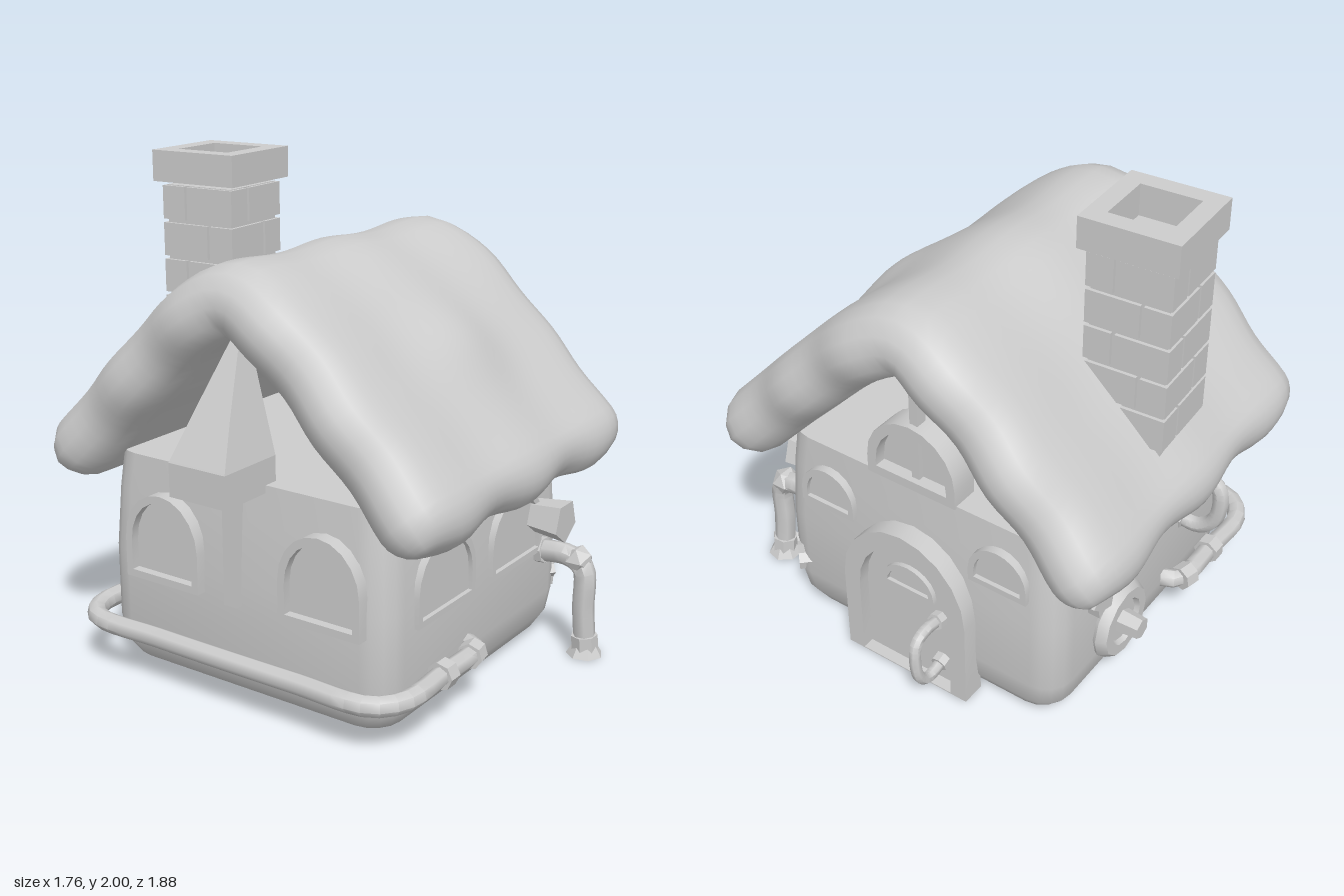
import * as THREE from 'three';
import { toCreasedNormals } from 'three/addons/utils/BufferGeometryUtils.js';

const clay = new THREE.MeshStandardMaterial({ color: 0xcccccc, side: THREE.DoubleSide });
clay.name = 'clay grey';

const V = (x, y, z) => new THREE.Vector3(x, y, z);

function add(parent, name, geometry, pos = [0, 0, 0], rot = [0, 0, 0], crease = 0.6) {
  const mesh = new THREE.Mesh(crease ? toCreasedNormals(geometry, crease) : geometry, clay);
  mesh.name = name;
  mesh.position.set(...pos);
  mesh.rotation.set(...rot);
  parent.add(mesh);
  return mesh;
}

function addGroup(parent, name, pos = [0, 0, 0], rotY = 0) {
  const g = new THREE.Group();
  g.name = name;
  g.position.set(...pos);
  g.rotation.y = rotY;
  parent.add(g);
  return g;
}

// Skin over closed rings of equal length
function loft(rings) {
  const n = rings[0].length, index = [];
  for (let i = 0; i < rings.length - 1; i++) {
    for (let j = 0; j < n; j++) {
      const a = i * n + j, b = i * n + (j + 1) % n;
      index.push(a, b, b + n, a, b + n, a + n);
    }
  }
  const g = new THREE.BufferGeometry().setFromPoints(rings.flat());
  g.setIndex(index);
  g.computeVertexNormals();
  return g;
}

// Pipe through points, with a collar at each end
function pipe(parent, name, points, r, collar = 1.5) {
  const g = addGroup(parent, name);
  const curve = new THREE.CatmullRomCurve3(points.map(p => V(...p)), false, 'centripetal');
  add(g, 'tube', new THREE.TubeGeometry(curve, points.length * 4, r, 7), undefined, undefined, 0.9);
  for (const t of [0.04, 0.96]) {
    const c = add(g, 'collar', new THREE.CylinderGeometry(r * collar, r * collar, r * 1.6, 7));
    c.position.copy(curve.getPointAt(t));
    c.quaternion.setFromUnitVectors(V(0, 1, 0), curve.getTangentAt(t));
  }
  return g;
}

// Arch outline standing on y = 0
function archPath(Type, w, h, rise, base = 0) {
  const p = new Type();
  p.moveTo(-w / 2, base);
  p.lineTo(w / 2, base);
  p.lineTo(w / 2, h - rise);
  p.absellipse(0, h - rise, w / 2, rise, 0, Math.PI, false);
  p.closePath();
  return p;
}

function extrude(shape, depth, segs = 5) {
  return new THREE.ExtrudeGeometry(shape, { depth, bevelEnabled: false, curveSegments: segs });
}

// Arched frame with a recessed panel, facing local +z
function arch(parent, name, pos, rotY, w, h, rise, t, frameDepth, panelDepth, sill = t) {
  const g = addGroup(parent, name, pos, rotY);
  const frame = archPath(THREE.Shape, w, h, rise);
  frame.holes.push(archPath(THREE.Path, w - 2 * t, h - t, rise - t * 0.6, sill));
  add(g, 'frame', extrude(frame, frameDepth));
  add(g, 'panel', extrude(archPath(THREE.Shape, w - t, h - t / 2, rise - t * 0.3), panelDepth));
  return g;
}

// Rounded, slightly bulging walls, open underneath inside a narrow lip
function walls() {
  const ring = (y, inset, k = 1) => {
    const pts = [], r = 0.12, hx = 0.67 - inset, hz = 0.67 - inset;
    for (let q = 0; q < 4; q++) {
      for (let s = 0; s <= 4; s++) {
        const a = (q + s / 4) * Math.PI / 2;
        const sx = q < 2 ? 1 : -1, sz = q === 0 || q === 3 ? 1 : -1;
        pts.push(V(k * (sx * (hx - r) + r * Math.sin(a)), y, k * (sz * (hz - r) + r * Math.cos(a)) - 0.02));
      }
    }
    return pts;
  };
  return loft([ring(0.01, 0.1, 0.88), ring(0.01, 0.1), ring(0.04, 0.05), ring(0.1, 0.015), ring(0.2, 0),
    ring(0.5, 0), ring(0.75, 0.015), ring(0.9, 0.03), ring(0.9, 0.03, 0.001)]);
}

// Thick soft roof: a rounded slab bent over the ridge, with wavy edges and a slight hump on the front slope
function roof() {
  const path = new THREE.CatmullRomCurve3([[-0.785, 0.905], [-0.5, 1.2], [-0.2, 1.48], [-0.03, 1.56],
    [0.15, 1.48], [0.45, 1.2], [0.735, 0.905]].map(([z, y]) => V(0, y, z)));
  const R = 0.135, W = 0.775, N = 40, E = 6, F = 22;
  const section = [];
  for (let s = 0; s <= 6; s++) {
    const a = (s / 6 - 0.5) * Math.PI;
    section.push([W - R + R * Math.cos(a), Math.sin(a)]);
  }
  for (let s = 1; s < F; s++) section.push([(W - R) * (1 - 2 * s / F), 1]);
  for (let s = 0; s <= 6; s++) {
    const a = (s / 6 + 0.5) * Math.PI;
    section.push([-W + R + R * Math.cos(a), Math.sin(a)]);
  }
  for (let s = 1; s < F; s++) section.push([(W - R) * (2 * s / F - 1), -1]);

  const rings = [];
  for (let i = -E; i <= N + E; i++) {
    const t = THREE.MathUtils.clamp(i / N, 0, 1);
    const over = i < 0 ? i / E : i > N ? (i - N) / E : 0;
    const c = path.getPointAt(t), T = path.getTangentAt(t);
    const round = Math.cos(over * Math.PI / 2), reach = R * Math.sin(over * Math.PI / 2);
    const width = 1 + 0.016 * Math.cos(t * Math.PI * 10) - 0.1 * (1 - round);
    rings.push(section.map(([x, n]) => {
      const wave = Math.cos(11.4 * x);
      const hump = 0.04 * Math.exp(-(((t - 0.76) / 0.09) ** 2) - ((x - 0.04) / 0.25) ** 2);
      const h = n * round * (R + (n > 0 ? 0.008 * wave + hump : 0));
      const e = reach * (1 + 0.13 * wave);
      return V(x * width + 0.008, c.y + T.z * h + T.y * e, c.z - T.y * h + T.z * e);
    }));
  }
  return loft(rings);
}

function star(r) {
  const s = new THREE.Shape();
  for (let i = 0; i < 12; i++) {
    const a = i * Math.PI / 6, k = i % 2 ? r * 0.7 : r;
    if (i) s.lineTo(k * Math.cos(a), k * Math.sin(a));
    else s.moveTo(k, 0);
  }
  return extrude(s, 0.06);
}

function chimney(parent) {
  const g = addGroup(parent, 'chimney', [0.025, 0, -0.628], 0.06);
  add(g, 'mortarCore', new THREE.BoxGeometry(0.31, 0.8, 0.31), [0, 1.46, 0]);
  const S = 0.352, L = 0.23, B = S - L, gap = 0.014;
  for (let row = 0; row < 5; row++) {
    const course = addGroup(g, 'brickCourse', [0, 1.19 + row * 0.15, 0]);
    const m = row % 2 ? -1 : 1;
    for (let k = 0; k < 4; k++) {
      const side = addGroup(course, 'brickSide', undefined, k * Math.PI / 2);
      add(side, 'brick', new THREE.BoxGeometry(L - gap, 0.135, B - gap), [m * (S - L) / 2, 0, (S - B) / 2]);
    }
  }
  const cap = new THREE.Shape([[-1, -1], [1, -1], [1, 1], [-1, 1]].map(([x, y]) => new THREE.Vector2(x * 0.195, y * 0.195)));
  cap.holes.push(new THREE.Path([[-1, -1], [-1, 1], [1, 1], [1, -1]].map(([x, y]) => new THREE.Vector2(x * 0.12, y * 0.12))));
  add(g, 'chimneyCap', extrude(cap, 0.125), [0, 1.875, 0], [-Math.PI / 2, 0, 0]);
}

export function createModel() {
  const house = new THREE.Group();
  house.name = 'cottage';
  const H = Math.PI / 2;

  add(house, 'walls', walls(), undefined, undefined, 0.8);
  add(house, 'roof', roof(), undefined, undefined, 0);
  chimney(house);

  // Front, door-side and far-side windows
  for (const x of [-0.29, 0.24]) arch(house, 'frontWindow', [x, 0.42, 0.635], 0, 0.4, 0.31, 0.19, 0.025, 0.035, 0.017);
  for (const z of [0.385, -0.43]) arch(house, 'sideWindow', [0.64, 0.62, z], H, 0.26, 0.19, 0.13, 0.025, 0.045, 0.027);
  for (const z of [0.38, -0.36]) arch(house, 'farSideWindow', [-0.645, 0.42, z], -H, 0.36, 0.36, 0.2, 0.03, 0.065, 0.03);
  add(house, 'farSidePost', new THREE.BoxGeometry(0.06, 0.48, 0.06), [-0.67, 0.65, -0.03]);

  // Door with a small window and a handle
  const door = arch(house, 'door', [0.64, 0.015, -0.025], H, 0.59, 0.705, 0.32, 0.075, 0.1, 0.05, 0.005);
  arch(door, 'doorWindow', [0, 0.4, 0.03], 0, 0.25, 0.13, 0.11, 0.022, 0.04, 0.025);
  pipe(house, 'doorHandle', [[0.69, 0.35, -0.17], [0.8, 0.36, -0.17], [0.85, 0.33, -0.17], [0.855, 0.18, -0.18],
    [0.8, 0.12, -0.18], [0.69, 0.14, -0.18]], 0.024);

  // Gable on the door side: arched vent and king post
  arch(house, 'gableVent', [0.53, 0.89, -0.015], H, 0.41, 0.29, 0.21, 0.04, 0.12, 0.07);
  add(house, 'gablePost', new THREE.BoxGeometry(0.05, 0.54, 0.035), [0.6, 1.16, -0.02]);

  // Tapering brace on the far gable
  const rect = ([y, x0, x1, w]) => [V(x0, y, w - 0.03), V(x1, y, w - 0.03), V(x1, y, -w - 0.03), V(x0, y, -w - 0.03)];
  add(house, 'gableBrace', loft([[0.87, -0.6, -0.6, 0.001], [0.87, -0.87, -0.58, 0.13], [1.0, -0.87, -0.58, 0.13],
    [1.17, -0.78, -0.58, 0.085], [1.42, -0.64, -0.58, 0.02]].map(rect)), undefined, undefined, 0.2);

  // Water pipe wrapping the far side from front to back
  const y = 0.215;
  pipe(house, 'wrapPipe', [[-0.1, y, 0.64], [-0.14, y, 0.7], [-0.4, y, 0.71], [-0.64, y, 0.71], [-0.74, y, 0.63],
    [-0.75, y, 0.3], [-0.75, y, -0.35], [-0.74, y, -0.68], [-0.64, y, -0.76], [-0.4, y, -0.76], [-0.17, y, -0.75],
    [-0.13, y, -0.68]], 0.04, 1.3);
  for (const [x, z] of [[-0.38, 0.71], [-0.4, -0.76]]) {
    add(house, 'pipeCollar', new THREE.CylinderGeometry(0.055, 0.055, 0.06, 7), [x, y, z], [0, 0, H]);
  }

  // Drain spout on the front with a flared foot, and the stub above it
  pipe(house, 'drainSpout', [[0.46, 0.41, 0.62], [0.46, 0.42, 0.78], [0.46, 0.38, 0.85], [0.46, 0.2, 0.86], [0.47, 0.03, 0.87]], 0.046, 1.2);
  add(house, 'spoutFoot', new THREE.CylinderGeometry(0.045, 0.075, 0.05, 7), [0.47, 0.028, 0.87]);
  add(house, 'spoutElbow', new THREE.IcosahedronGeometry(0.062, 0), [0.46, 0.41, 0.83]);
  add(house, 'lampStub', new THREE.CylinderGeometry(0.09, 0.07, 0.16, 5), [0.41, 0.58, 0.71], [H, 0, 0], 0.2);

  // Back wall fittings: gauge, valves and a pipe handle
  const gauge = addGroup(house, 'gauge', [0.25, 0.3, -0.705]);
  add(gauge, 'gaugeRing', new THREE.TorusGeometry(0.125, 0.045, 6, 12), undefined, undefined, 0.9);
  add(gauge, 'gaugePlate', new THREE.CylinderGeometry(0.12, 0.12, 0.04, 12), undefined, [H, 0, 0]);
  add(gauge, 'gaugeHub', new THREE.CylinderGeometry(0.055, 0.045, 0.12, 6), [0, 0, -0.05], [H, 0, 0]);
  add(house, 'backValve', star(0.085), [0.41, 0.55, -0.74]);
  add(house, 'cornerValve', star(0.078), [0.61, 0.265, 0.565], [0, H / 2, 0]);
  pipe(house, 'backHandle', [[-0.27, 0.69, -0.65], [-0.27, 0.7, -0.77], [-0.27, 0.66, -0.84], [-0.27, 0.5, -0.83],
    [-0.27, 0.44, -0.76], [-0.27, 0.45, -0.65]], 0.033, 1.4);

  return house;
}
